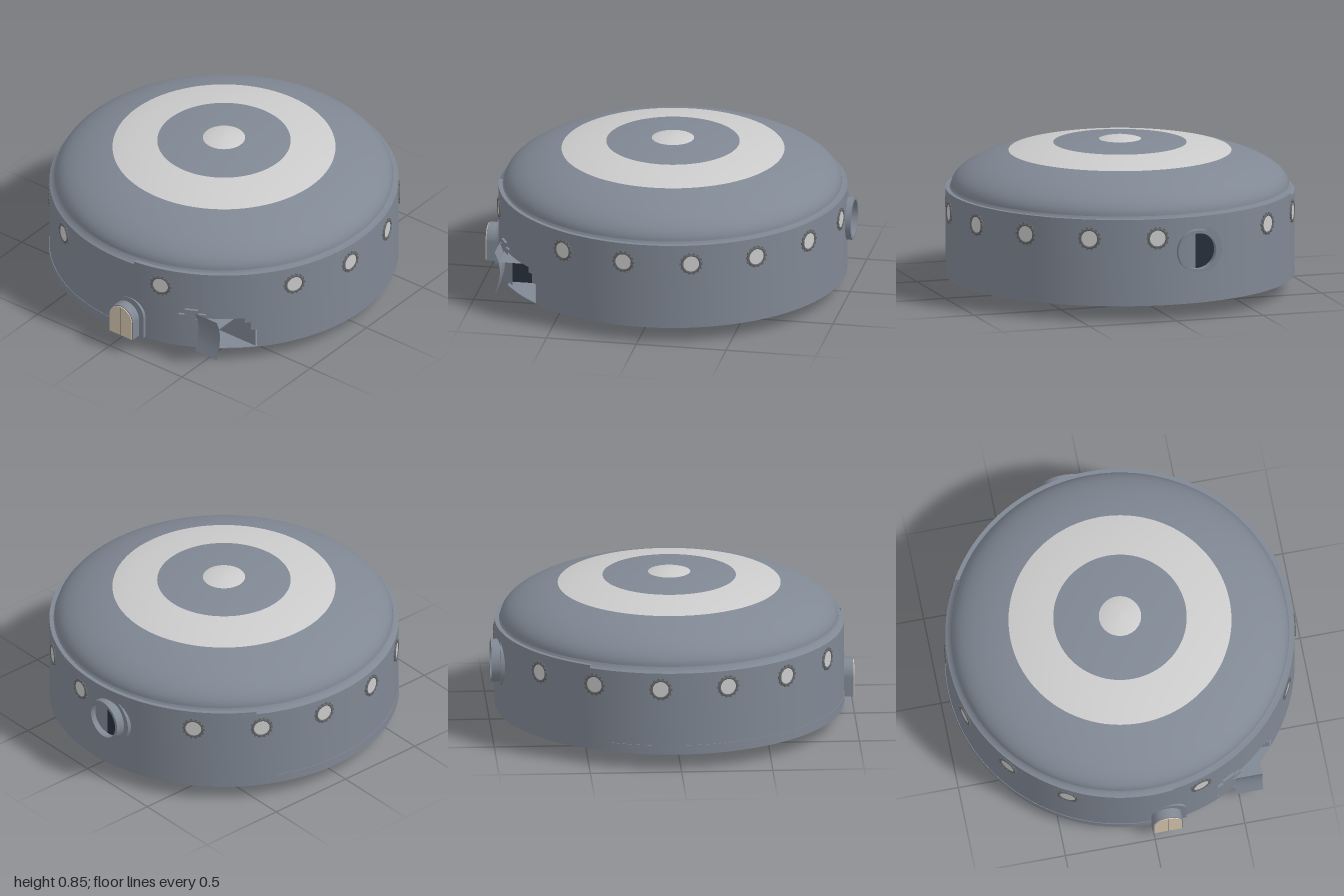
import * as THREE from 'three';
import { mergeGeometries, toCreasedNormals } from 'three/addons/utils/BufferGeometryUtils.js';

const R = 0.955, ZC = -0.015, FLOOR = 0.085;
const rad = THREE.MathUtils.degToRad;
const V = (x, y) => new THREE.Vector2(x, y);
const paint = (color) => new THREE.MeshStandardMaterial({ color, side: THREE.DoubleSide });
const hull = paint(0x808894), pale = paint(0xcccccc), trim = paint(0x66676a);
const tan = paint(0xd6c6ae), dark = paint(0x26303c);

function add(parent, name, geometry, material, x = 0, y = 0, z = 0) {
  const mesh = new THREE.Mesh(geometry, material);
  mesh.name = name;
  mesh.position.set(x, y, z);
  parent.add(mesh);
  return mesh;
}

// Curved plate hugging the round wall; angles in degrees from +z towards +x
function arcPlate(r0, r1, y0, y1, a0, a1) {
  const pts = [V(r0, y0), V(r1, y0), V(r1, y1), V(r0, y1), V(r0, y0)];
  const steps = Math.max(2, Math.ceil((a1 - a0) / 3));
  return toCreasedNormals(new THREE.LatheGeometry(pts, steps, rad(a0), rad(a1 - a0)), 0.6);
}

// Band of the elliptical dome between two radii, listed from the outside in
function domeBand(rOuter, rInner) {
  const at = (r) => Math.acos(Math.min(1, r / 0.925));
  const t0 = at(rOuter), t1 = at(rInner), pts = [];
  for (let i = 0; i <= 14; i++) {
    const t = t0 + ((t1 - t0) * i) / 14;
    pts.push(V(0.925 * Math.cos(t), 0.575 + 0.26 * Math.sin(t)));
  }
  return new THREE.LatheGeometry(pts, 96);
}

// Arched outline standing on y = 0
function archShape(halfWidth, height) {
  const s = new THREE.Shape();
  s.moveTo(-halfWidth, 0);
  s.lineTo(halfWidth, 0);
  s.lineTo(halfWidth, height - halfWidth);
  s.absarc(0, height - halfWidth, halfWidth, 0, Math.PI, false);
  s.closePath();
  return s;
}
const extrude = (shape, depth) =>
  new THREE.ExtrudeGeometry(shape, { depth, bevelEnabled: false, curveSegments: 20 });

// Sheet following a (z, y) section, running along x
function sheetAlongX(section, x0, x1) {
  const pos = [], idx = [];
  section.forEach(([z, y], i) => {
    pos.push(x0, y, z, x1, y, z);
    if (i) idx.push(2 * i - 2, 2 * i - 1, 2 * i, 2 * i - 1, 2 * i + 1, 2 * i);
  });
  const g = new THREE.BufferGeometry();
  g.setAttribute('position', new THREE.Float32BufferAttribute(pos, 3));
  g.setIndex(idx);
  g.computeVertexNormals();
  return g;
}

function addDrum(parent) {
  // Wall, with a stepped gap for the side entrance
  const wall = [[49, 391, FLOOR], [31, 45, 0.28], [45, 47, 0.25], [47, 49, 0.2]]
    .map(([a0, a1, y0]) => arcPlate(R - 0.02, R, y0, 0.55, a0, a1));
  add(parent, 'drumWall', mergeGeometries(wall), hull);
  add(parent, 'upperRim', arcPlate(0.93, R, 0.55, 0.566, 7, 240), hull);
  add(parent, 'lowerSkirt', arcPlate(R - 0.01, R + 0.003, 0.095, 0.138, -113, 9), hull);
  add(parent, 'roofLedge', new THREE.LatheGeometry([V(R, 0.55), V(0.935, 0.56), V(0.925, 0.58)], 96), hull);
  add(parent, 'floor', new THREE.CylinderGeometry(R - 0.001, R - 0.001, 0.004, 96), hull, 0, FLOOR + 0.002, 0);
}

function addRoof(parent) {
  add(parent, 'outerDome', domeBand(0.925, 0.61), hull);
  add(parent, 'paleRoofRing', domeBand(0.61, 0.365), pale);
  add(parent, 'innerDome', domeBand(0.365, 0), hull);
  const cap = [V(0.125, 0.83), V(0.1, 0.838), V(0.06, 0.847), V(0, 0.851)];
  add(parent, 'roofCap', new THREE.LatheGeometry(cap, 48), pale);
}

function addPortholes(parent) {
  // Ring with small bolts around it
  const parts = [new THREE.TorusGeometry(0.05, 0.008, 8, 32)];
  for (let i = 0; i < 14; i++) {
    const a = (i / 14) * Math.PI * 2;
    const bolt = new THREE.BoxGeometry(0.012, 0.012, 0.012);
    bolt.rotateZ(a);
    bolt.translate(0.057 * Math.cos(a), 0.057 * Math.sin(a), 0);
    parts.push(bolt);
  }
  const frame = mergeGeometries(parts);
  const glass = new THREE.CylinderGeometry(0.046, 0.046, 0.012, 32);
  glass.rotateX(Math.PI / 2);
  // Sixteen even places, leaving out those over the door, side entrance and pipe
  for (let i = 0; i < 16; i++) {
    if (i === 1 || i === 8 || i === 15) continue;
    const porthole = new THREE.Group();
    porthole.name = 'porthole';
    porthole.rotation.y = rad(16.7 + 22.5 * i);
    add(porthole, 'portholeFrame', frame, trim, 0, 0.46, R);
    add(porthole, 'portholeGlass', glass, pale, 0, 0.46, R - 0.002);
    parent.add(porthole);
  }
}

function addFrontDoor(parent) {
  const door = new THREE.Group();
  door.name = 'frontDoor';
  add(door, 'doorFlange', extrude(archShape(0.095, 0.225), 0.03), hull, 0.09, 0.095, 0.91);
  add(door, 'doorPorch', extrude(archShape(0.082, 0.192), 0.1), hull, 0.073, 0.098, 0.895);
  add(door, 'doorPanel', extrude(archShape(0.076, 0.184), 0.005), tan, 0.073, 0.1, 0.995);
  add(door, 'doorSeam', new THREE.BoxGeometry(0.003, 0.18, 0.002), trim, 0.073, 0.19, 0.9995);
  parent.add(door);
}

function addSideEntrance(parent) {
  const entrance = new THREE.Group();
  entrance.name = 'sideEntrance';
  const outer = [[0.858, 0.09], [0.845, 0.13], [0.832, 0.18], [0.828, 0.23], [0.836, 0.28], [0.858, 0.335]];
  add(entrance, 'flaredWall', sheetAlongX(outer, 0.48, 0.63), hull);
  add(entrance, 'entranceRoof', sheetAlongX([[0.836, 0.28], [0.62, 0.28]], 0.42, 0.63), hull);
  add(entrance, 'entranceInnerWall', sheetAlongX([[0.615, FLOOR], [0.615, 0.28]], 0.3, 0.71), hull);
  add(entrance, 'entranceBackWall', new THREE.BoxGeometry(0.005, 0.195, 0.2), dark, 0.42, 0.182, 0.715);
  // Stepped plates beside the opening
  const steps = [[23, 25, 0.14, 0.3], [25, 29.5, 0.14, 0.335], [29.5, 32, 0.1, 0.31]]
    .map(([a0, a1, y0, y1]) => arcPlate(R - 0.01, R + 0.014, y0, y1, a0, a1));
  const plates = add(entrance, 'steppedPlates', mergeGeometries(steps), hull);
  plates.position.z = ZC;
  parent.add(entrance);
}

function addBackPipe(parent) {
  const pipe = new THREE.Group();
  pipe.name = 'backPipe';
  pipe.position.set(-0.13, 0.38, -1);
  const ring = [V(0.1, 0.07), V(0.1, 0), V(0.118, 0), V(0.118, 0.1)];
  const tube = toCreasedNormals(new THREE.LatheGeometry(ring, 48), 0.6);
  tube.rotateX(Math.PI / 2);
  add(pipe, 'pipeTube', tube, hull);
  const flange = new THREE.CylinderGeometry(0.135, 0.135, 0.025, 48);
  flange.rotateX(Math.PI / 2);
  add(pipe, 'pipeFlange', flange, hull, -0.015, 0, 0.062);
  const disc = new THREE.CylinderGeometry(0.1, 0.1, 0.01, 48);
  disc.rotateX(Math.PI / 2);
  add(pipe, 'pipeInterior', disc, dark, 0, 0, 0.043);
  parent.add(pipe);
}

function addHangingLamp(parent) {
  const lamp = new THREE.Group();
  lamp.name = 'hangingLamp';
  lamp.position.set(0.075, 0, 0.73);
  const ball = new THREE.SphereGeometry(1, 20, 14);
  add(lamp, 'lampBulb', ball, pale, 0, 0.092, 0).scale.set(0.03, 0.038, 0.032);
  for (const s of [-1, 1]) add(lamp, 'lampSideBall', ball, pale, s * 0.024, 0.064, 0).scale.setScalar(0.018);
  [[0.045, 0.015], [0.026, 0.009], [0.013, 0.007], [0.005, 0.005]].forEach(([y, r]) =>
    add(lamp, 'lampDrop', ball, pale, 0.004, y, 0).scale.setScalar(r));
  parent.add(lamp);
}

export function createModel() {
  const model = new THREE.Group();
  model.name = 'roundBuilding';
  const body = new THREE.Group();
  body.name = 'body';
  body.position.z = ZC;
  model.add(body);
  addDrum(body);
  addRoof(body);
  addPortholes(body);
  addFrontDoor(model);
  addSideEntrance(model);
  addBackPipe(model);
  addHangingLamp(model);
  return model;
}
